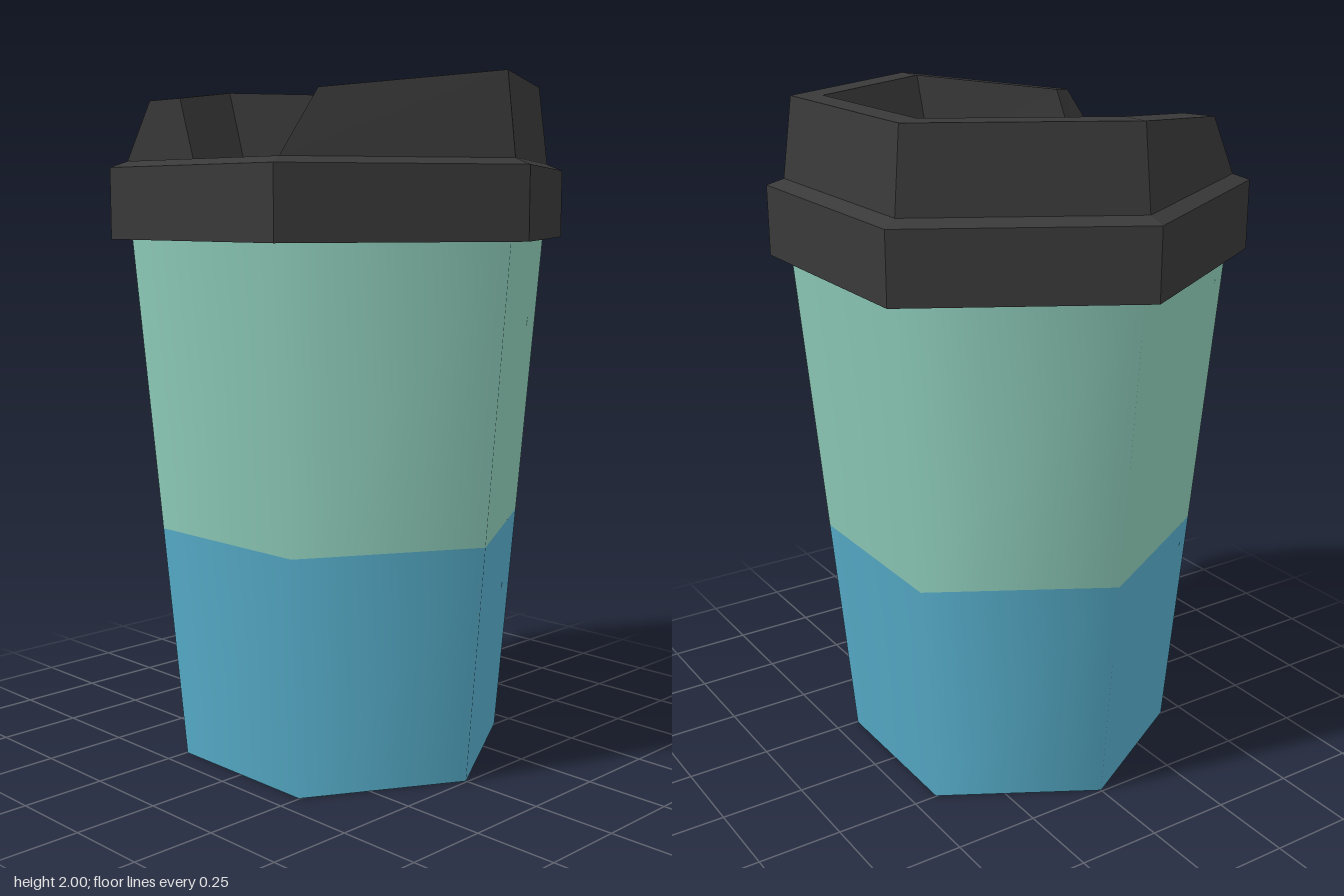
import * as THREE from 'three';

const lidMat = new THREE.MeshStandardMaterial({ color: 0x393939 });
lidMat.name = 'charcoal';
const greenMat = new THREE.MeshStandardMaterial({ color: 0x8fcebb });
greenMat.name = 'mintGreen';
const blueMat = new THREE.MeshStandardMaterial({ color: 0x57aecb });
blueMat.name = 'blue';

const DECK = 1.77;

// Flat-shaded geometry from convex polygons, corners counter-clockwise from outside
function polygons(list) {
  const pos = [];
  for (const p of list)
    for (let i = 1; i < p.length - 1; i++) pos.push(...p[0], ...p[i], ...p[i + 1]);
  const g = new THREE.BufferGeometry();
  g.setAttribute('position', new THREE.Float32BufferAttribute(pos, 3));
  g.computeVertexNormals();
  return g;
}

// Hexagon corner with points on the x axis
const hex = (r, i) => [r * Math.cos(i * Math.PI / 3), r * Math.sin(i * Math.PI / 3)];

export function createModel() {
  const group = new THREE.Group();
  const add = (name, geo, mat) => {
    const m = new THREE.Mesh(geo, mat);
    m.name = name;
    group.add(m);
  };

  // Six-sided tapering cup with smooth sides, split into two colours
  const cupRadius = y => 0.495 + 0.135 * y / 1.55;
  const cupSection = (name, y0, y1, mat) => {
    const g = new THREE.CylinderGeometry(cupRadius(y1), cupRadius(y0), y1 - y0, 6, 1, true, Math.PI / 2);
    g.translate(0, (y0 + y1) / 2, 0);
    add(name, g, mat);
  };
  cupSection('lowerCup', 0, 0.7, blueMat);
  cupSection('upperCup', 0.7, 1.56, greenMat);
  add('cupBase', new THREE.CircleGeometry(0.495, 6).rotateX(Math.PI / 2), blueMat);

  // Lid band with a small chamfer
  const profile = [[0.6, 1.55], [0.69, 1.55], [0.69, 1.752], [0.64, DECK]].map(p => new THREE.Vector2(...p));
  const band = new THREE.LatheGeometry(profile, 6, Math.PI / 2).toNonIndexed();
  band.computeVertexNormals();
  add('lidBand', band, lidMat);

  // Outline of the drinking recess as [x, z]: upper rim and sunken floor
  const rim = [[0.225, 0.39], [0.205, 0.165], [0.105, -0.007], [-0.105, -0.007], [-0.205, 0.165], [-0.225, 0.39]];
  const sunk = [[0.225, 0.39], [0.17, 0.175], [0.08, 0.03], [-0.08, 0.03], [-0.17, 0.175], [-0.225, 0.39]];
  const rimPts = rim.map(([x, z]) => [x, DECK, z]);
  const sunkPts = sunk.map(([x, z]) => [x, DECK - 0.08 * (0.39 - z) / 0.36, z]);

  // Lid deck with an opening for the recess
  const deck = new THREE.Shape([0, 1, 2, 3, 4, 5].map(i => new THREE.Vector2(...hex(0.64, i))));
  deck.holes.push(new THREE.Path(rim.map(([x, z]) => new THREE.Vector2(x, -z))));
  add('lidDeck', new THREE.ShapeGeometry(deck).rotateX(-Math.PI / 2).translate(0, DECK, 0), lidMat);

  // Sloping recess floor and its walls
  const recess = [sunkPts];
  for (let i = 0; i < 5; i++)
    recess.push([sunkPts[i], rimPts[i], rimPts[i + 1], sunkPts[i + 1]]);
  add('drinkingRecess', polygons(recess), lidMat);

  // Raised wall: sections run around the back, open at the front
  const section = i => {
    const corner = (r, y) => { const [x, z] = hex(r, i); return [x, y, z]; };
    return [corner(0.64, DECK), corner(0.61, 2), corner(0.52, 2), corner(0.45, DECK)];
  };
  const endSection = s => [
    [0.32 * s, DECK, 0.554], [0.352 * s, 1.945, 0.447],
    [0.305 * s, 1.954, 0.373], [0.225 * s, DECK, 0.39]];
  const sections = [endSection(1), section(0), section(-1), section(-2), section(-3), endSection(-1)];
  const wall = [];
  for (let i = 0; i < sections.length - 1; i++) {
    const a = sections[i], b = sections[i + 1];
    for (let k = 0; k < 3; k++) wall.push([a[k], b[k], b[k + 1], a[k + 1]]);
  }
  const cap = s => [s[1], s[2], s[3], s[0]];
  const [a, b, c, d] = cap(sections[5]);
  wall.push(cap(sections[0]), [a, d, c, b]);
  add('lidWall', polygons(wall), lidMat);

  return group;
}
